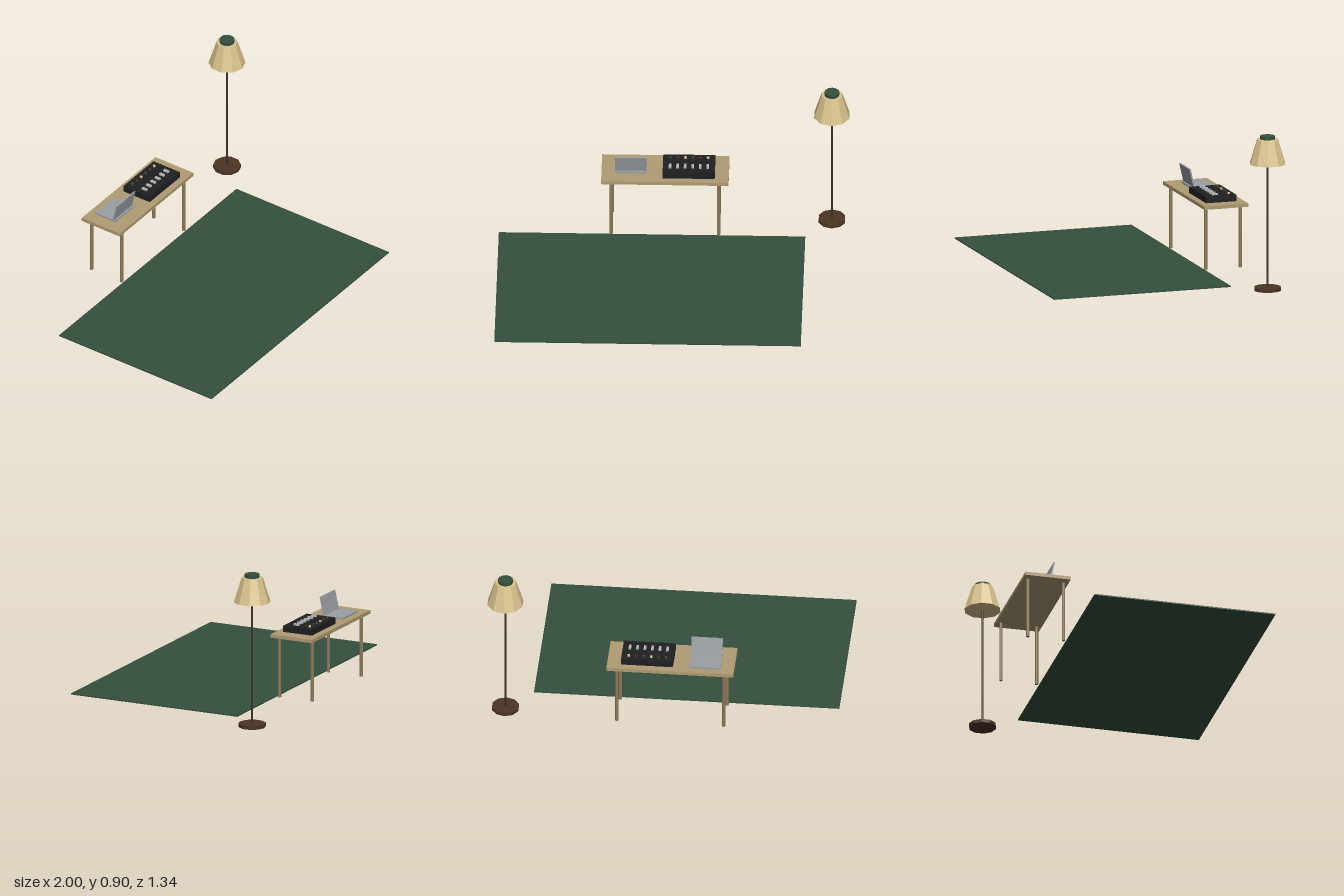
import * as THREE from 'three';

const mat = (name, color) => {
  const m = new THREE.MeshStandardMaterial({ color, flatShading: true });
  m.name = name;
  return m;
};

export function createModel() {
  const green = mat('dark green', 0x344f3d);
  const wood = mat('light wood', 0xb09c74);
  const legWood = mat('leg wood', 0x8f7b5a);
  const cream = mat('lampshade cream', 0xd9c28c);
  const poleBrown = mat('pole brown', 0x3b3026);
  const baseBrown = mat('base brown', 0x4b3424);
  const black = mat('mixer black', 0x1f1f22);
  const silver = mat('laptop silver', 0x9a9fa5);
  const lightGrey = mat('fader grey', 0xb4b6b8);

  const model = new THREE.Group();
  const group = (name, x, y, z) => {
    const g = new THREE.Group();
    g.name = name;
    g.position.set(x, y, z);
    model.add(g);
    return g;
  };
  const add = (parent, name, geometry, material, x, y, z) => {
    const mesh = new THREE.Mesh(geometry, material);
    mesh.name = name;
    mesh.position.set(x, y, z);
    parent.add(mesh);
    return mesh;
  };
  const box = (w, h, d) => new THREE.BoxGeometry(w, h, d);
  const cyl = (top, bottom, h, sides) => new THREE.CylinderGeometry(top, bottom, h, sides);

  // Rug
  add(model, 'rug', box(1.75, 0.007, 1.066), green, -0.125, 0.0035, 0.137);

  // Table with four round legs
  const table = group('table', -0.052, 0, -0.519);
  add(table, 'tableTop', box(0.728, 0.02, 0.266), wood, 0, 0.371, 0);
  for (const x of [-0.306, 0.306])
    for (const z of [-0.105, 0.105])
      add(table, 'tableLeg', cyl(0.01, 0.01, 0.361, 8), legWood, x, 0.1805, z);

  // Laptop, opened towards the back of the table
  const laptop = group('laptop', -0.249, 0.381, -0.54);
  add(laptop, 'laptopBase', box(0.18, 0.01, 0.138), silver, 0, 0.005, 0);
  const hinge = new THREE.Group();
  hinge.name = 'laptopLid';
  hinge.position.set(0, 0.007, 0.053);
  hinge.rotation.x = 0.225;
  laptop.add(hinge);
  add(hinge, 'lidPanel', box(0.18, 0.112, 0.008), silver, 0, 0.056, 0);

  // Mixer with a row of faders and a row of coloured knobs
  const mixer = group('mixer', 0.083, 0.381, -0.517);
  add(mixer, 'mixerBody', box(0.298, 0.036, 0.185), black, 0, 0.018, 0);
  const knobColors = [green, baseBrown, cream];
  for (let i = 0; i < 6; i++) {
    const x = (i - 2.5) * 0.043;
    add(mixer, 'fader', box(0.015, 0.01, 0.034), lightGrey, x, 0.041, 0.027);
    add(mixer, 'knob', cyl(0.008, 0.008, 0.01, 8), knobColors[i % 3], x, 0.041, -0.058);
  }

  // Floor lamp with a ten-sided shade
  const lamp = group('floorLamp', 0.898, 0, -0.567);
  add(lamp, 'lampBase', cyl(0.079, 0.079, 0.02, 10), baseBrown, 0, 0.01, 0);
  add(lamp, 'lampPole', cyl(0.0065, 0.0065, 0.73, 8), poleBrown, 0, 0.385, 0);
  add(lamp, 'lampShade', cyl(0.061, 0.106, 0.145, 10), cream, 0, 0.811, 0);
  add(lamp, 'lampCap', cyl(0.043, 0.043, 0.02, 12), green, 0, 0.892, 0);

  return model;
}
